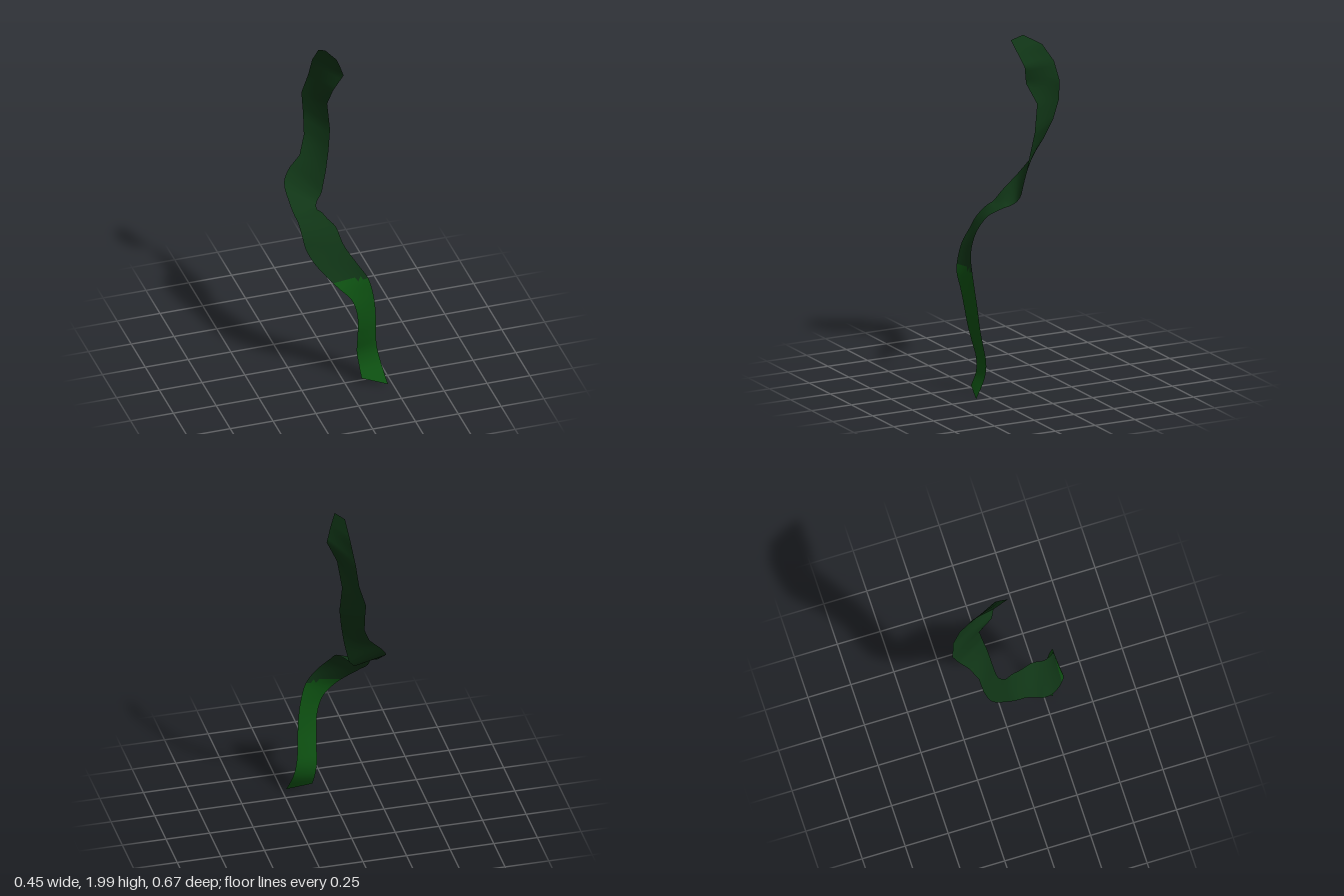
import * as THREE from 'three';

// The two long edges of the twisting blade, from the foot to the tip.
const edgeA = [
  [.08, .05, .295], [.075, .12, .262], [.065, .2, .255], [.06, .3, .28], [.055, .4, .305], [.045, .5, .32],
  [.01, .6, .325], [-.06, .68, .312], [-.165, .8, .225], [-.2, .87, .155], [-.207, .93, .11], [-.21, .985, .04],
  [-.215, 1, 0], [-.225, 1.05, -.06], [-.225, 1.13, -.155], [-.18, 1.2, -.19], [-.12, 1.26, -.2], [-.08, 1.36, -.245],
  [-.067, 1.47, -.3], [-.065, 1.58, -.335], [-.03, 1.7, -.32], [-.02, 1.82, -.28], [-.01, 1.93, -.2], [-.01, 2, -.08],
];
const edgeB = [
  [.22, .01, .337], [.2, .12, .272], [.185, .2, .255], [.172, .3, .268], [.167, .4, .285], [.16, .5, .295],
  [.145, .6, .303], [.115, .71, .305], [.06, .8, .285], [0, .9, .22], [-.02, .975, .14], [-.045, .99, .07],
  [-.06, 1, .01], [-.075, 1, -.03], [-.065, 1.02, -.065], [-.03, 1.07, -.08], [0, 1.2, -.095], [.02, 1.32, -.11],
  [.035, 1.44, -.13], [.025, 1.6, -.15], [.035, 1.73, -.075], [.085, 1.84, -.04], [.055, 1.92, -.01], [.025, 1.99, .015],
];
const STEPS = 4, COLUMNS = 6, SMOOTH_UNTIL = 15;

// Smooth along the lower stem, straight-sided segments in the upper blade.
function sampleEdge(edge) {
  const pts = edge.map((p) => new THREE.Vector3(...p));
  const curve = new THREE.CatmullRomCurve3(pts, false, 'centripetal');
  const out = [];
  const spans = pts.length - 1;
  for (let i = 0; i < spans; i++) {
    for (let s = 0; s < STEPS; s++) {
      const t = s / STEPS;
      out.push(i < SMOOTH_UNTIL ? curve.getPoint((i + t) / spans) : pts[i].clone().lerp(pts[i + 1], t));
    }
  }
  out.push(pts[spans]);
  return out;
}

export function createModel() {
  const lightGreen = new THREE.MeshStandardMaterial({ color: 0x0e5212, side: THREE.DoubleSide });
  lightGreen.name = 'light stem green';
  const darkGreen = new THREE.MeshStandardMaterial({ color: 0x103516, side: THREE.DoubleSide });
  darkGreen.name = 'dark leaf green';

  // Grid of points spanning the two edges
  const a = sampleEdge(edgeA), b = sampleEdge(edgeB);
  const positions = [];
  a.forEach((p, i) => {
    for (let c = 0; c <= COLUMNS; c++) positions.push(...p.clone().lerp(b[i], c / COLUMNS).toArray());
  });

  // Faces sorted by height into the light foot and the dark blade
  const lower = [], upper = [];
  const addFace = (...f) => {
    const y = f.reduce((sum, v) => sum + positions[v * 3 + 1], 0) / 3;
    (y < 0.715 ? lower : upper).push(...f);
  };
  for (let r = 0; r < a.length - 1; r++) {
    for (let c = 0; c < COLUMNS; c++) {
      const v = r * (COLUMNS + 1) + c, w = v + COLUMNS + 1;
      addFace(v, v + 1, w + 1);
      addFace(v, w + 1, w);
    }
  }

  const geometry = new THREE.BufferGeometry();
  geometry.setAttribute('position', new THREE.Float32BufferAttribute(positions, 3));
  geometry.setIndex([...lower, ...upper]);
  geometry.addGroup(0, lower.length, 0);
  geometry.addGroup(lower.length, upper.length, 1);
  geometry.computeVertexNormals();

  const blade = new THREE.Mesh(geometry, [lightGreen, darkGreen]);
  blade.name = 'leafBlade';
  const group = new THREE.Group();
  group.name = 'twistedLeaf';
  group.add(blade);
  // Stand on the ground, centred
  const box = new THREE.Box3().setFromObject(blade);
  const centre = box.getCenter(new THREE.Vector3());
  blade.position.set(-centre.x, -box.min.y, -centre.z);
  return group;
}
